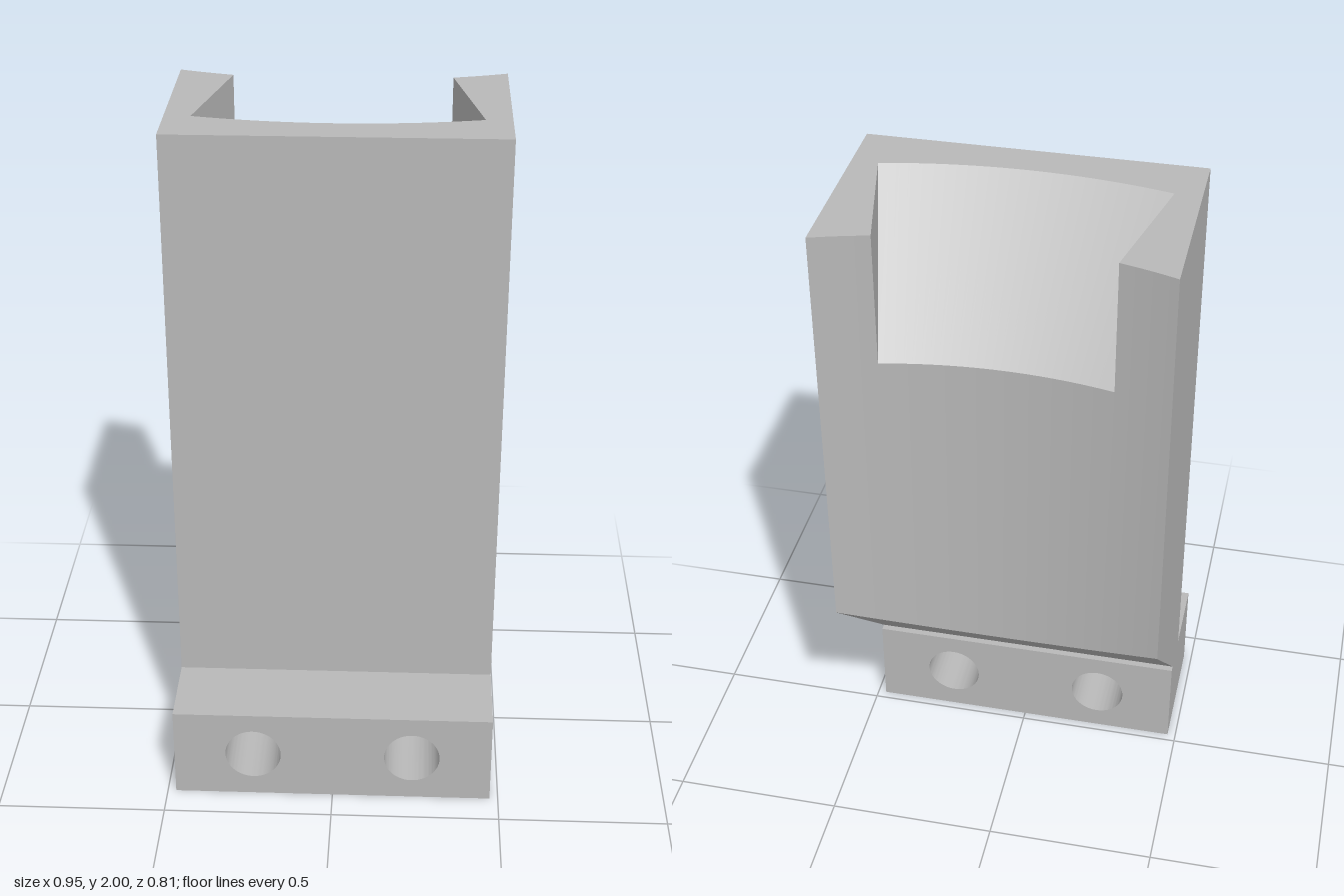
import * as THREE from 'three';
import { toCreasedNormals } from 'three/addons/utils/BufferGeometryUtils.js';

const HALF = 0.475, FRONT = 0.165, TOP = 2, BASE_H = 0.285;
const AXIS_Z = -1.775, R_BACK = 1.45, R_FLOOR = 1.83; // shared centre of the curved faces
const NOTCH_Y = 1.61;
const A_NOTCH = THREE.MathUtils.degToRad(12.65);
const A_END = Math.asin(HALF / R_BACK);

// Point on a circle around the shared vertical axis
const polar = (r, a, y) => new THREE.Vector3(r * Math.sin(a), y, AXIS_Z + r * Math.cos(a));

// Closed section of the column at one angle, from front bottom over the top to the back
function section(a, notched) {
  const x = HALF * a / A_END;
  const back = polar(R_BACK, a, notched ? NOTCH_Y : TOP);
  const side = Math.max(0, (Math.abs(a) - A_NOTCH) / (A_END - A_NOTCH));
  const rim = polar(R_FLOOR, THREE.MathUtils.clamp(a, -A_NOTCH, A_NOTCH), TOP)
    .lerp(new THREE.Vector3(HALF * Math.sign(a), TOP, 0), side);
  return [
    new THREE.Vector3(x, BASE_H, FRONT),
    new THREE.Vector3(x, TOP, FRONT),
    rim,
    back,
    new THREE.Vector3(back.x, 0.33 - back.z, back.z), // 45 degree underside
    new THREE.Vector3(x, BASE_H, 0.045),
  ];
}

function columnGeometry() {
  const rows = [];
  const addRows = (from, to, n, notched) => {
    for (let i = 0; i <= n; i++) rows.push(section(from + (to - from) * i / n, notched));
  };
  addRows(-A_END, -A_NOTCH, 8, false);
  addRows(-A_NOTCH, A_NOTCH, 28, true);
  addRows(A_NOTCH, A_END, 8, false);

  const pos = [];
  const tri = (a, b, c) => {
    if (new THREE.Triangle(a, b, c).getArea() < 1e-7) return;
    for (const p of [a, b, c]) pos.push(p.x, p.y, p.z);
  };
  for (let i = 0; i < rows.length - 1; i++) {
    const r = rows[i], s = rows[i + 1];
    for (let j = 0; j < r.length; j++) {
      const k = (j + 1) % r.length;
      tri(r[j], s[j], s[k]);
      tri(r[j], s[k], r[k]);
    }
  }
  // flat sides
  const first = rows[0], last = rows[rows.length - 1];
  for (let j = 1; j < first.length - 1; j++) {
    tri(first[0], first[j], first[j + 1]);
    tri(last[0], last[j + 1], last[j]);
  }
  const geo = new THREE.BufferGeometry();
  geo.setAttribute('position', new THREE.Float32BufferAttribute(pos, 3));
  return toCreasedNormals(geo, Math.PI / 7);
}

// Foot block with two through holes
function footGeometry() {
  const shape = new THREE.Shape([
    new THREE.Vector2(-HALF, 0), new THREE.Vector2(HALF, 0),
    new THREE.Vector2(HALF, BASE_H), new THREE.Vector2(-HALF, BASE_H),
  ]);
  for (const x of [-0.238, 0.238]) {
    shape.holes.push(new THREE.Path().absarc(x, 0.145, 0.083, 0, Math.PI * 2, true));
  }
  const geo = new THREE.ExtrudeGeometry(shape, { depth: 0.38, bevelEnabled: false, curveSegments: 40 });
  geo.translate(0, 0, 0.025);
  return toCreasedNormals(geo, Math.PI / 7);
}

export function createModel() {
  const grey = new THREE.MeshStandardMaterial({ color: 0xb8b8b8 });
  grey.name = 'plain grey';
  const group = new THREE.Group();
  group.name = 'bracket';
  const add = (name, geometry) => {
    const mesh = new THREE.Mesh(geometry, grey);
    mesh.name = name;
    group.add(mesh);
  };
  add('notchedColumn', columnGeometry());
  add('mountingFoot', footGeometry());
  return group;
}
